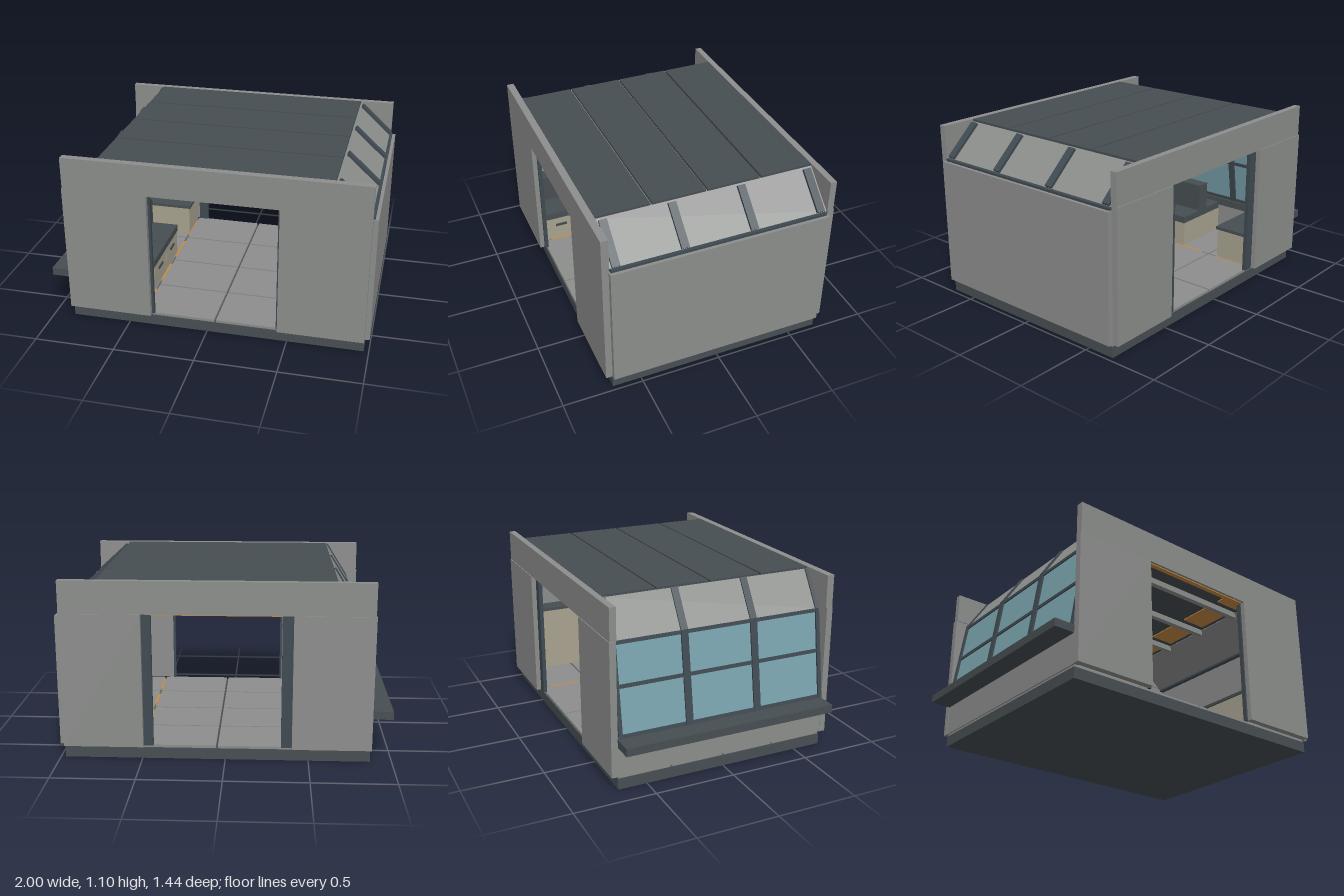
import * as THREE from 'three';

export function createModel() {
  const model = new THREE.Group();
  model.name = 'habitatModule';
  const mat = (name, color) => {
    const m = new THREE.MeshStandardMaterial({ color });
    m.name = name;
    return m;
  };
  const grey = mat('wall grey', 0x8c8e8c);
  const dark = mat('dark slate', 0x474e52);
  const frame = mat('frame slate', 0x3f4a51);
  const glass = mat('blue glass', 0x7aa3ae);
  const beige = mat('cabinet beige', 0xa8a390);
  const amber = mat('amber', 0xc88a42);

  // Box given by its min and max on each axis
  const box = (name, m, x0, x1, y0, y1, z0, z1) => {
    const mesh = new THREE.Mesh(new THREE.BoxGeometry(x1 - x0, y1 - y0, z1 - z0), m);
    mesh.position.set((x0 + x1) / 2, (y0 + y1) / 2, (z0 + z1) / 2);
    mesh.name = name;
    model.add(mesh);
    return mesh;
  };
  // Slab of thickness t running from (xa, ya) to (xb, yb) in the xy plane
  const slab = (name, m, [xa, ya], [xb, yb], t, z0, z1) => {
    const len = Math.hypot(xb - xa, yb - ya);
    const mesh = new THREE.Mesh(new THREE.BoxGeometry(len, t, z1 - z0), m);
    mesh.position.set((xa + xb) / 2, (ya + yb) / 2, (z0 + z1) / 2);
    mesh.rotation.z = Math.atan2(yb - ya, xb - xa);
    mesh.name = name;
    model.add(mesh);
  };

  // Base and 4 x 4 floor tiles
  box('base', dark, -0.87, 0.97, 0, 0.068, -0.68, 0.68);
  for (let i = 0; i < 4; i++) {
    for (let j = 0; j < 4; j++) {
      const x = -0.87 + i * 0.46, z = -0.68 + j * 0.34;
      box('floorTile', grey, x + 0.006, x + 0.454, 0.068, 0.084, z + 0.006, z + 0.334);
    }
  }
  // Amber strips in the floor joints
  for (const x of [-0.41, 0.51]) {
    for (let j = 0; j < 4; j++) {
      const z = -0.51 + j * 0.34;
      box('floorLight', amber, x - 0.007, x + 0.007, 0.068, 0.085, z - 0.11, z + 0.11);
    }
  }

  // Front and back walls: two panels, header, jambs and amber strip
  for (const s of [1, -1]) {
    const wall = (name, m, x0, x1, y0, y1, za, zb) =>
      box(name, m, x0, x1, y0, y1, Math.min(s * za, s * zb), Math.max(s * za, s * zb));
    const xl = s > 0 ? -0.35 : -0.4, xr = s > 0 ? 0.445 : 0.49;
    wall('wallPanel', grey, -0.875, xl, 0.084, 0.903, 0.68, 0.72);
    wall('wallPanel', grey, xr, 0.97, 0.084, 0.903, 0.68, 0.72);
    wall('header', grey, -0.87, 0.97, 0.903, 1.1, 0.675, s > 0 ? 0.72 : 0.715);
    wall('jamb', frame, xl, -0.335, 0.084, 0.9, 0.665, 0.69);
    wall('jamb', frame, 0.433, xr + 0.005, 0.084, 0.9, 0.665, 0.69);
    wall('headerLight', amber, -0.335, 0.433, 0.897, 0.905, 0.675, 0.705);
  }

  // Solid side wall with a rail on top
  box('sideWall', grey, 0.97, 1.0, 0.084, 0.88, -0.68, 0.68);
  box('sideRail', frame, 0.94, 0.98, 0.875, 0.895, -0.67, 0.67);

  // Roof panels, beams under their joints and amber ceiling lights
  for (let j = 0; j < 4; j++) {
    const z = -0.68 + j * 0.34;
    box('roofPanel', dark, -0.65, 0.75, 1.08, 1.1, z + 0.006, z + 0.334);
    for (const x of [-0.52, 0.62]) {
      box('ceilingLight', amber, x - 0.09, x + 0.09, 1.073, 1.081, z + 0.06, z + 0.28);
    }
  }
  for (const z of [-0.34, 0, 0.34]) {
    box('roofBeam', grey, -0.65, 0.75, 1.04, 1.084, z - 0.018, z + 0.018);
  }

  // Sloped eave on the solid side
  slab('eave', grey, [0.745, 1.08], [0.955, 0.89], 0.02, -0.675, 0.675);
  for (const z of [-0.635, -0.205, 0.225, 0.635]) {
    slab('eaveRib', frame, [0.762, 1.078], [0.96, 0.898], 0.035, z - 0.024, z + 0.024);
  }

  // Sloped eave, glazing and ribs on the window side
  const sill = [-0.868, 0.32], knee = [-0.785, 0.87], ridge = [-0.65, 1.085];
  const along = (t) => [sill[0] + (knee[0] - sill[0]) * t, sill[1] + (knee[1] - sill[1]) * t];
  slab('windowEave', grey, knee, ridge, 0.018, -0.675, 0.675);
  slab('windowGlass', glass, sill, knee, 0.012, -0.675, 0.675);
  for (const z of [-0.663, -0.23, 0.22, 0.663]) {
    const w = Math.abs(z) > 0.5 ? 0.012 : 0.022;
    slab('windowPost', frame, sill, knee, 0.035, z - w, z + w);
    slab('eaveRib', frame, knee, ridge, 0.035, z - w, z + w);
  }
  for (const t of [0.02, 0.54, 0.99]) {
    slab('windowBar', frame, along(t - 0.02), along(t + 0.02), 0.026, -0.67, 0.67);
  }
  box('lowerWall', grey, -0.872, -0.845, 0.084, 0.28, -0.68, 0.68);
  box('ledge', dark, -1.0, -0.84, 0.27, 0.32, -0.68, 0.675);

  // Bench of drawer units with cushions and backrests
  for (let i = 0; i < 3; i++) {
    const z = -0.12 + i * 0.265, z1 = z + 0.258;
    box('benchDrawer', beige, -0.83, -0.42, 0.084, 0.25, z, z1);
    box('drawerHandle', frame, -0.42, -0.412, 0.185, 0.2, z + 0.09, z + 0.17);
    box('cushion', dark, -0.83, -0.415, 0.25, 0.295, z, z1);
    box('backrest', dark, -0.68, -0.59, 0.295, 0.48, z, z1);
  }

  // Low corner cabinet and side cabinet
  box('cornerCabinet', beige, -0.83, -0.41, 0.084, 0.285, -0.66, -0.41);
  box('cornerTop', dark, -0.83, -0.4, 0.285, 0.305, -0.665, -0.4);
  box('sideCabinet', beige, 0.86, 0.97, 0.084, 0.52, -0.64, 0.32);
  box('sideCabinetTop', dark, 0.85, 0.97, 0.52, 0.54, -0.65, 0.33);

  return model;
}
